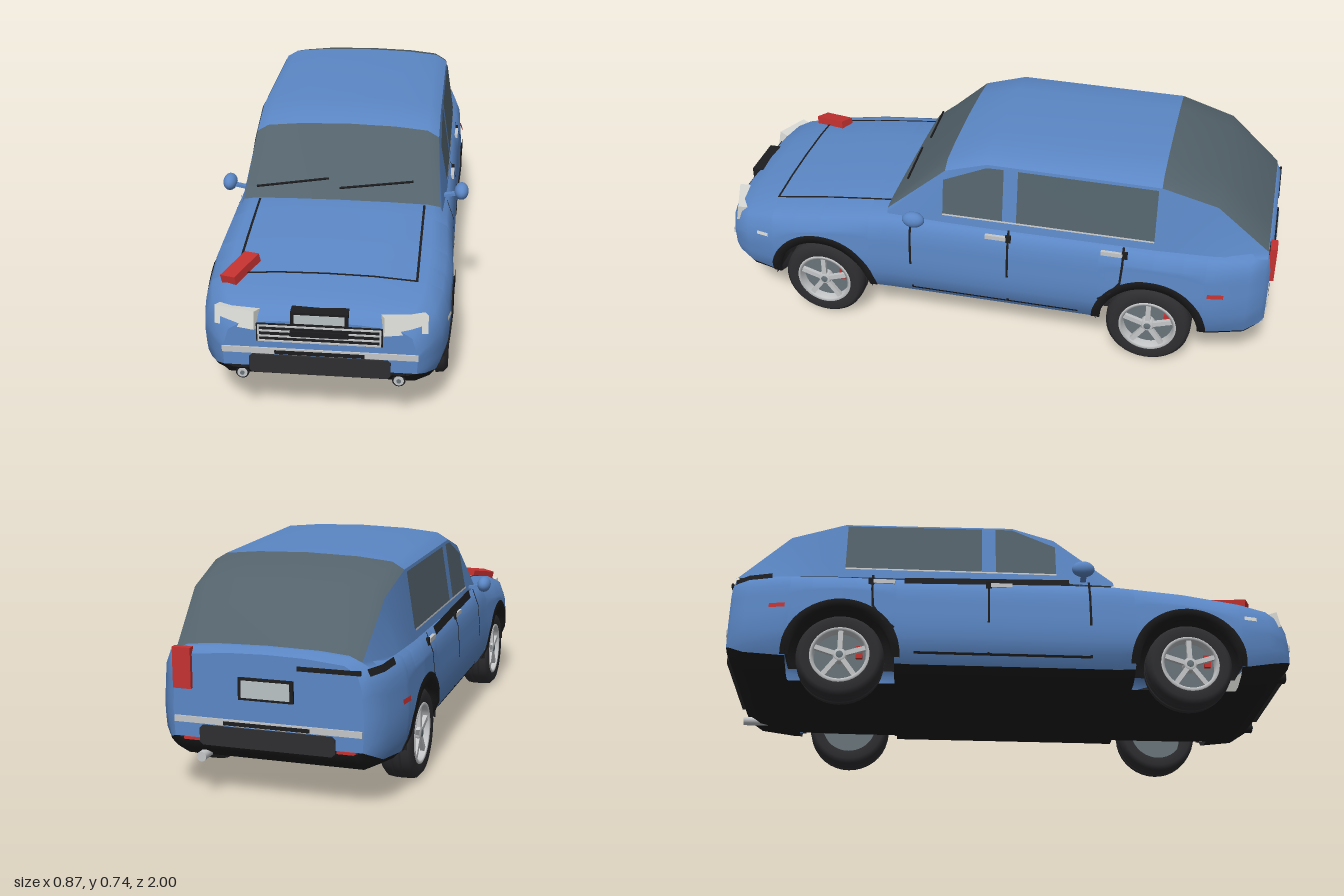
import * as THREE from 'three';

const mat = (name, color) => new THREE.MeshStandardMaterial({ name, color, side: THREE.DoubleSide });
const M = {
  paint: mat('blue paint', 0x5b87c5), glass: mat('tinted glass', 0x53626b),
  trim: mat('black trim', 0x1d1d1f), tyre: mat('tyre rubber', 0x2e2e31),
  chrome: mat('chrome', 0xc4c6c8), lamp: mat('clear lamp', 0xdcdcd8),
  red: mat('red lamp', 0xc43230), plate: mat('plate grey', 0xb9c2c4), disc: mat('brake steel', 0x68747a),
};
const V = (x, y, z) => new THREE.Vector3(x, y, z);

// Piecewise linear lookup in rows sorted by their first column
function look(table, v, col = 1) {
  let i = 1;
  while (i < table.length - 1 && v > table[i][0]) i++;
  const a = table[i - 1], b = table[i];
  const t = THREE.MathUtils.clamp((v - a[0]) / (b[0] - a[0]), 0, 1);
  return a[col] + (b[col] - a[col]) * t;
}

// z, half width, lower edge, deck height, floor height
const HULL = [
  [-0.985, 0.31, 0.2, 0.475, 0.19], [-0.97, 0.335, 0.19, 0.495, 0.16], [-0.92, 0.37, 0.165, 0.49, 0.125],
  [-0.8, 0.395, 0.15, 0.485, 0.108], [-0.6, 0.403, 0.14, 0.485, 0.105], [-0.36, 0.394, 0.135, 0.485, 0.105],
  [0.36, 0.393, 0.135, 0.482, 0.105], [0.6, 0.403, 0.14, 0.455, 0.105], [0.8, 0.395, 0.15, 0.427, 0.108],
  [0.9, 0.375, 0.17, 0.41, 0.12], [0.96, 0.335, 0.19, 0.39, 0.16], [0.985, 0.305, 0.2, 0.36, 0.19]];
// height, share of half width
const FLANK = [[0.1, 0.8], [0.15, 0.93], [0.2, 0.985], [0.28, 1], [0.4, 0.975]];
// z, base half width, roof edge half width, roof edge height, roof centre height
const CABIN = [
  [-0.97, 0.325, 0.3, 0.475, 0.505], [-0.79, 0.35, 0.315, 0.635, 0.675], [-0.6, 0.36, 0.325, 0.69, 0.73],
  [0, 0.362, 0.325, 0.697, 0.737], [0.15, 0.36, 0.325, 0.652, 0.692], [0.36, 0.35, 0.342, 0.478, 0.49]];
const WHEELS = [0.61, -0.59], ARCH = 0.185, AXLE = 0.15;

// Half cross-section of the hull, bottom edge to centre line
function section(z) {
  const W = look(HULL, z, 1), T = look(HULL, z, 3);
  let lo = look(HULL, z, 2);
  for (const c of WHEELS) {
    const d = ARCH * ARCH - (z - c) ** 2;
    if (d > 0) lo = Math.max(lo, AXLE + Math.sqrt(d));
  }
  const out = [];
  for (let i = 0; i < 6; i++) {
    const y = lo + (T - 0.08 - lo) * i / 6;
    out.push(V(W * look(FLANK, y), y, z));
  }
  for (const [f, d] of [[0.975, 0.08], [0.93, 0.035], [0.8, 0.01], [0.4, -0.002], [0, -0.005]]) out.push(V(W * f, T - d, z));
  return out;
}
// Outer x of the car side at (z, y)
function sideX(z, y) {
  const W = look(HULL, z, 1), T = look(HULL, z, 3);
  if (y > T) {
    const e = look(CABIN, z, 3), t = (y - 0.46) / Math.max(e - 0.46, 0.01);
    return THREE.MathUtils.lerp(look(CABIN, z, 1), look(CABIN, z, 2), t);
  }
  if (y < T - 0.08) return W * look(FLANK, y);
  return W * look([[T - 0.08, 0.975], [T - 0.035, 0.93], [T, 0.9]], y);
}
// Height of the bonnet at (x, z)
const deckY = (x, z) => look(section(z).slice(6).reverse().map(p => [p.x, p.y]), Math.abs(x));
const mirror = pts => pts.map(p => V(-p.x, p.y, p.z));

export function createModel() {
  const car = new THREE.Group();
  car.name = 'car';
  const add = (name, geo, m, x = 0, y = 0, z = 0, parent = car) => {
    const mesh = new THREE.Mesh(geo, m);
    mesh.name = name;
    mesh.position.set(x, y, z);
    parent.add(mesh);
    return mesh;
  };
  const box = (name, m, w, h, d, x, y, z, parent) => add(name, new THREE.BoxGeometry(w, h, d), m, x, y, z, parent);
  // Skin over rows of points
  function skin(name, m, rows) {
    const n = rows[0].length, idx = [];
    for (let i = 0; i < rows.length - 1; i++) for (let j = 0; j < n - 1; j++) {
      const a = i * n + j;
      idx.push(a, a + 1, a + n, a + 1, a + n + 1, a + n);
    }
    const g = new THREE.BufferGeometry().setFromPoints(rows.flat());
    g.setIndex(idx);
    g.computeVertexNormals();
    return add(name, g, m);
  }
  // Plate on the car side between two [z, y] lines
  const onSide = (name, m, s, lower, upper, off = 0.004) =>
    skin(name, m, [lower, upper].map(l => l.map(([z, y]) => V(s * (sideX(z, y) + off), y, z))));
  // Thin band along a [z, y] path
  function band(name, m, s, path, w, off) {
    const line = k => path.map(([z, y], i) => {
      const a = path[Math.max(i - 1, 0)], b = path[Math.min(i + 1, path.length - 1)];
      const l = Math.hypot(b[0] - a[0], b[1] - a[1]);
      return [z - k * w * (b[1] - a[1]) / l / 2, y + k * w * (b[0] - a[0]) / l / 2];
    });
    return onSide(name, m, s, line(-1), line(1), off);
  }

  // Hull
  const zs = HULL.map(r => r[0]).concat([0, 0.2, -0.2, 0.7, -0.7]);
  for (const c of WHEELS) for (let k = 0; k <= 16; k++) zs.push(c + ARCH * Math.cos(Math.PI * k / 16));
  zs.sort((a, b) => a - b);
  skin('body', M.paint, zs.map(z => {
    const h = section(z);
    return [...h, ...mirror(h).reverse().slice(1)];
  }));
  for (const [n, z] of [['nosePanel', 0.985], ['tailPanel', -0.985]]) skin(n, M.paint, [section(z), mirror(section(z))]);

  // Underbody
  skin('floor', M.trim, zs.map(z => [-0.25, 0.25].map(x => V(x, look(HULL, z, 4), z))));
  const spans = [[-0.985, WHEELS[1] - ARCH], [WHEELS[1] + ARCH, WHEELS[0] - ARCH], [WHEELS[0] + ARCH, 0.985]];
  for (const s of [1, -1]) for (const [a, b] of spans)
    skin('sill', M.trim, zs.filter(z => z >= a - 1e-6 && z <= b + 1e-6).map(z => {
      const lo = look(HULL, z, 2), f = look(HULL, z, 4), x = look(HULL, z, 1) * look(FLANK, lo);
      return [V(s * x, lo, z), V(s * (x - 0.02), (lo + f) / 2, z), V(s * Math.min(0.29, x - 0.03), f, z), V(s * 0.25, f, z)];
    }));

  // Cabin
  const roofRow = ([z, , e, ye, yt]) => {
    const d = yt - ye;
    const h = [V(e, ye, z), V(e - 0.04, ye + 0.6 * d, z), V(0.17, ye + 0.88 * d, z), V(0, yt, z)];
    return [...h, ...mirror(h).reverse().slice(1)];
  };
  skin('rearGlass', M.glass, CABIN.slice(0, 3).map(roofRow));
  skin('roof', M.paint, CABIN.slice(2, 5).map(roofRow));
  skin('windscreen', M.glass, CABIN.slice(4).map(roofRow));

  for (const s of [1, -1]) {
    skin('cabinSide', M.paint, CABIN.map(([z, b, e, ye]) => [V(s * b, 0.46, z), V(s * e, ye, z)]));
    // Side glass
    onSide('frontWindow', M.glass, s, [[0.155, 0.495], [0, 0.495], [-0.06, 0.495]], [[0.155, 0.62], [0, 0.687], [-0.06, 0.688]]);
    onSide('rearWindow', M.glass, s, [[-0.11, 0.495], [-0.59, 0.495]], [[-0.11, 0.687], [-0.59, 0.682]]);
    band('beltTrim', M.chrome, s, [[0.155, 0.494], [-0.59, 0.494]], 0.006, 0.007);
    // Door seams and handles
    band('frontDoorSeam', M.trim, s, [[0.27, 0.165], [0.27, 0.3], [0.27, 0.4], [0.27, 0.465]], 0.008, 0.003);
    band('middleDoorSeam', M.trim, s, [[-0.085, 0.165], [-0.085, 0.3], [-0.085, 0.4], [-0.085, 0.465]], 0.008, 0.003);
    band('lowerDoorSeam', M.trim, s, [[0.27, 0.168], [-0.34, 0.168]], 0.008, 0.003);
    band('rearDoorSeam', M.trim, s, [[-0.49, 0.465], [-0.49, 0.4], [-0.485, 0.33], [-0.45, 0.28], [-0.41, 0.25]], 0.008, 0.006);
    for (const z of [-0.04, -0.45]) {
      box('handle', M.chrome, 0.012, 0.015, 0.075, s * (sideX(z, 0.435) + 0.003), 0.435, z);
      box('handleRecess', M.trim, 0.01, 0.026, 0.02, s * (sideX(z, 0.435) + 0.003), 0.435, z - 0.045);
    }
    // Side markers
    band('rearMarker', M.red, s, [[-0.785, 0.325], [-0.84, 0.325]], 0.016, 0.008);
    band('frontMarker', M.lamp, s, [[0.81, 0.325], [0.855, 0.325]], 0.014, 0.008);
    // Mirror
    const ball = add('mirror', new THREE.SphereGeometry(1, 20, 14), M.paint, s * 0.412, 0.491, 0.245);
    ball.scale.set(0.025, 0.029, 0.04);
    box('mirrorArm', M.paint, 0.075, 0.01, 0.02, s * 0.365, 0.478, 0.25).rotation.z = s * 0.2;

    // Wheels and arches
    for (const c of WHEELS) {
      const arc = (x, r) => Array.from({ length: 25 }, (_, k) => {
        const a = Math.PI * k / 24, z = c + r * Math.cos(a), y = AXLE + r * Math.sin(a);
        return V(s * (x ?? sideX(z, y) + 0.006), y, z);
      });
      skin('wheelWell', M.trim, [arc(0.25, 0), arc(0.25, ARCH), arc(0.385, ARCH)]);
      skin('archTrim', M.trim, [arc(0.37, 0.172), arc(null, 0.174), arc(null, 0.203)]);
      const wheel = new THREE.Group();
      wheel.name = 'wheel';
      wheel.position.set(s * 0.335, AXLE, c);
      if (s < 0) wheel.rotation.y = Math.PI;
      car.add(wheel);
      const tread = [[0.1, -0.05], [0.132, -0.056], [0.147, -0.042], [0.15, -0.02], [0.15, -0.016], [0.143, -0.015], [0.143, -0.01],
        [0.15, -0.009], [0.15, 0.009], [0.143, 0.01], [0.143, 0.015], [0.15, 0.016], [0.15, 0.02], [0.147, 0.042], [0.132, 0.056], [0.1, 0.05]];
      const lathe = (name, pts, m) => {
        add(name, new THREE.LatheGeometry(pts.map(p => new THREE.Vector2(...p)), 36), m, 0, 0, 0, wheel).rotation.z = -Math.PI / 2;
      };
      lathe('tyre', tread, M.tyre);
      lathe('rim', [[0.103, 0.048], [0.1, 0.054], [0.09, 0.052], [0.088, 0.02]], M.chrome);
      lathe('brakeDisc', [[0.1, 0.018], [0, 0.018]], M.disc);
      lathe('hub', [[0.024, 0.02], [0.024, 0.046], [0.018, 0.05], [0, 0.05]], M.chrome);
      lathe('hubCap', [[0.012, 0.05], [0.012, 0.053], [0, 0.053]], M.disc);
      box('caliper', M.red, 0.012, 0.045, 0.022, 0.024, 0.02, -0.065, wheel);
      for (let k = 0; k < 5; k++) {
        const a = k * Math.PI * 0.4;
        box('spoke', M.chrome, 0.014, 0.075, 0.017, 0.041, 0.055 * Math.cos(a), 0.055 * Math.sin(a), wheel).rotation.x = a;
      }
    }

    // Front lamps
    const head = box('headlight', M.lamp, 0.14, 0.058, 0.045, s * 0.258, 0.358, 0.955);
    head.rotation.set(-0.2, s * 0.35, 0);
    const tube = (name, m, r, len, z) => {
      add(name, new THREE.CylinderGeometry(r, r, len, 18), m, s * 0.245, 0.168, z).rotation.x = Math.PI / 2;
    };
    tube('fogLampRing', M.trim, 0.021, 0.04, 0.958);
    tube('fogLamp', M.chrome, 0.016, 0.04, 0.961);
    tube('fogLampCentre', M.disc, 0.007, 0.04, 0.964);
    box('rearReflector', M.red, 0.06, 0.016, 0.02, s * 0.25, 0.188, -0.968);

    // Bonnet side seam
    skin('bonnetSideSeam', M.trim, [0.35, 0.45, 0.6, 0.7, 0.8].map(z =>
      [0.283, 0.291].map(x => V(s * x, deckY(x, z) + 0.004, z))));
  }
  skin('bonnetFrontSeam', M.trim, [-0.291, -0.15, 0, 0.15, 0.291].map(x =>
    [0.796, 0.804].map(z => V(x, deckY(x, z) + 0.004, z))));

  // Open shoulder gap on the right side
  band('shoulderGap', M.trim, -1, [[0.2, 0.46], [0, 0.455], [-0.2, 0.45], [-0.38, 0.445]], 0.028, 0.004);
  band('rearShoulderGap', M.trim, -1, [[-0.84, 0.455], [-0.92, 0.45], [-0.97, 0.445]], 0.022, 0.004);
  box('bootGap', M.trim, 0.2, 0.014, 0.008, -0.2, 0.445, -0.985);

  // Wipers
  for (const [x0, x1, y0, y1] of [[-0.3, -0.05, 0.518, 0.548], [-0.01, 0.245, 0.523, 0.548]]) {
    const p = [V(x0, y0, 0.335), V(x1, y1, 0.312)];
    add('wiper', new THREE.TubeGeometry(new THREE.LineCurve3(...p), 1, 0.004, 6), M.trim);
  }

  // Bumper strips, lower intakes and plates at both ends
  for (const [end, s, py] of [['front', 1, 0.375], ['rear', -1, 0.37]]) {
    box(end + 'BumperStrip', M.chrome, 0.61, 0.02, 0.02, 0, 0.257, s * 0.98);
    box(end + 'BumperInset', M.trim, 0.28, 0.012, 0.01, 0, 0.255, s * 0.988);
    const w = 0.22, shape = new THREE.Shape([[-w, 0.19], [-w + 0.01, 0.18], [w - 0.01, 0.18], [w, 0.19], [w, 0.234],
      [w - 0.01, 0.243], [-w + 0.01, 0.243], [-w, 0.234]].map(p => new THREE.Vector2(...p)));
    add(end + 'Intake', new THREE.ExtrudeGeometry(shape, { depth: 0.03, bevelEnabled: false }), M.tyre, 0, 0, s > 0 ? 0.962 : -0.992);
    const h = s > 0 ? 0.045 : 0.07;
    box(end + 'PlateFrame', M.trim, 0.178, h, s > 0 ? 0.06 : 0.02, 0, py, s * (s > 0 ? 0.96 : 0.984));
    box(end + 'Plate', M.plate, 0.156, h - 0.016, 0.006, 0, py, s * (s > 0 ? 0.99 : 0.994));
  }

  // Grille
  box('grilleFrame', M.trim, 0.39, 0.062, 0.02, 0, 0.323, 0.982);
  for (const y of [0.297, 0.314, 0.332, 0.349]) box('grilleBar', M.chrome, 0.38, 0.005, 0.006, 0, y, 0.993);
  for (const x of [-0.188, 0.188]) box('grilleEnd', M.chrome, 0.005, 0.055, 0.006, x, 0.323, 0.993);
  box('grilleCentre', M.trim, 0.18, 0.018, 0.006, 0, 0.326, 0.995);

  // Tail lamp, loose bonnet lamp and exhaust
  box('tailLamp', M.red, 0.06, 0.13, 0.024, 0.272, 0.422, -0.987);
  box('tailLampBase', M.trim, 0.05, 0.12, 0.01, -0.4 + 0.672, 0.422, -0.978);
  box('bonnetLamp', M.red, 0.056, 0.03, 0.14, -0.277, 0.432, 0.785).rotation.set(0.17, -0.43, 0.12, 'YXZ');
  add('exhaust', new THREE.CylinderGeometry(0.016, 0.016, 0.11, 16), M.chrome, 0.22, 0.137, -0.93).rotation.x = Math.PI / 2;
  return car;
}
